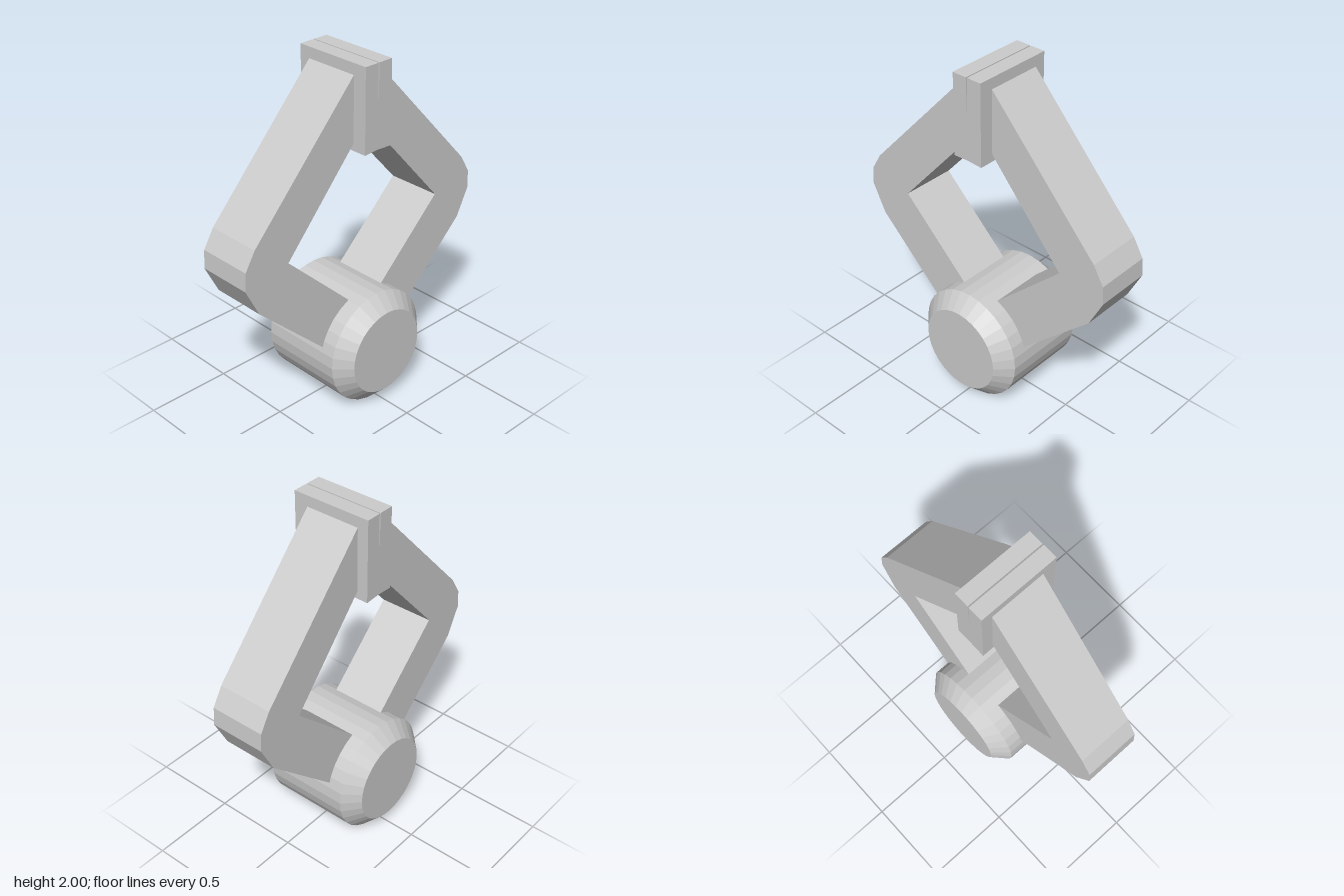
import * as THREE from 'three';

const material = new THREE.MeshStandardMaterial({ color: 0xcccccc, flatShading: true });

// Extrudes a (z, y) side profile across x, centred on x = centre
function sideExtrude(name, profile, width, centre = 0) {
  const shape = new THREE.Shape(profile.map(([z, y]) => new THREE.Vector2(z, y)));
  const geometry = new THREE.ExtrudeGeometry(shape, { depth: width, bevelEnabled: false });
  geometry.translate(0, 0, -width / 2).rotateY(-Math.PI / 2).translate(centre, 0, 0);
  const mesh = new THREE.Mesh(geometry, material);
  mesh.name = name;
  return mesh;
}

export function createModel() {
  const group = new THREE.Group();
  group.name = 'drumWithBentArms';

  // Drum lying along x, with chamfered ends
  const r = 0.335, inner = 0.25;
  const drumProfile = [[0, -r], [inner, -r], [r, -inner], [r, inner], [inner, r], [0, r]]
    .map(([x, y]) => new THREE.Vector2(x, y));
  const drumGeometry = new THREE.LatheGeometry(drumProfile, 32);
  drumGeometry.rotateZ(Math.PI / 2).translate(0, r, 0);
  const drum = new THREE.Mesh(drumGeometry, material);
  drum.name = 'drum';
  group.add(drum);

  // Bent arm with a rounded elbow; both ends sink into the drum and the plate
  const armProfile = [
    [0.05, 1.982], [0.05, 1.615], [0.55, 1.05], [0.03, 0.555], [0.2, 0.315],
    [0.752, 0.835], [0.835, 1.0], [0.828, 1.105], [0.765, 1.21],
  ];
  // Clamp plate; the inner face leans back to leave a fine slit at the top
  const plateProfile = [[0.092, 1.525], [0.092, 2], [0.004, 2], [0, 1.75], [0, 1.53]];

  for (const [side, sign] of [['front', 1], ['back', -1]]) {
    const mirror = (profile) => profile.map(([z, y]) => [z * sign, y]);
    group.add(sideExtrude(side + 'Arm', mirror(armProfile), 0.325));
    group.add(sideExtrude(side + 'Plate', mirror(plateProfile), 0.472, 0.009));
  }
  return group;
}
